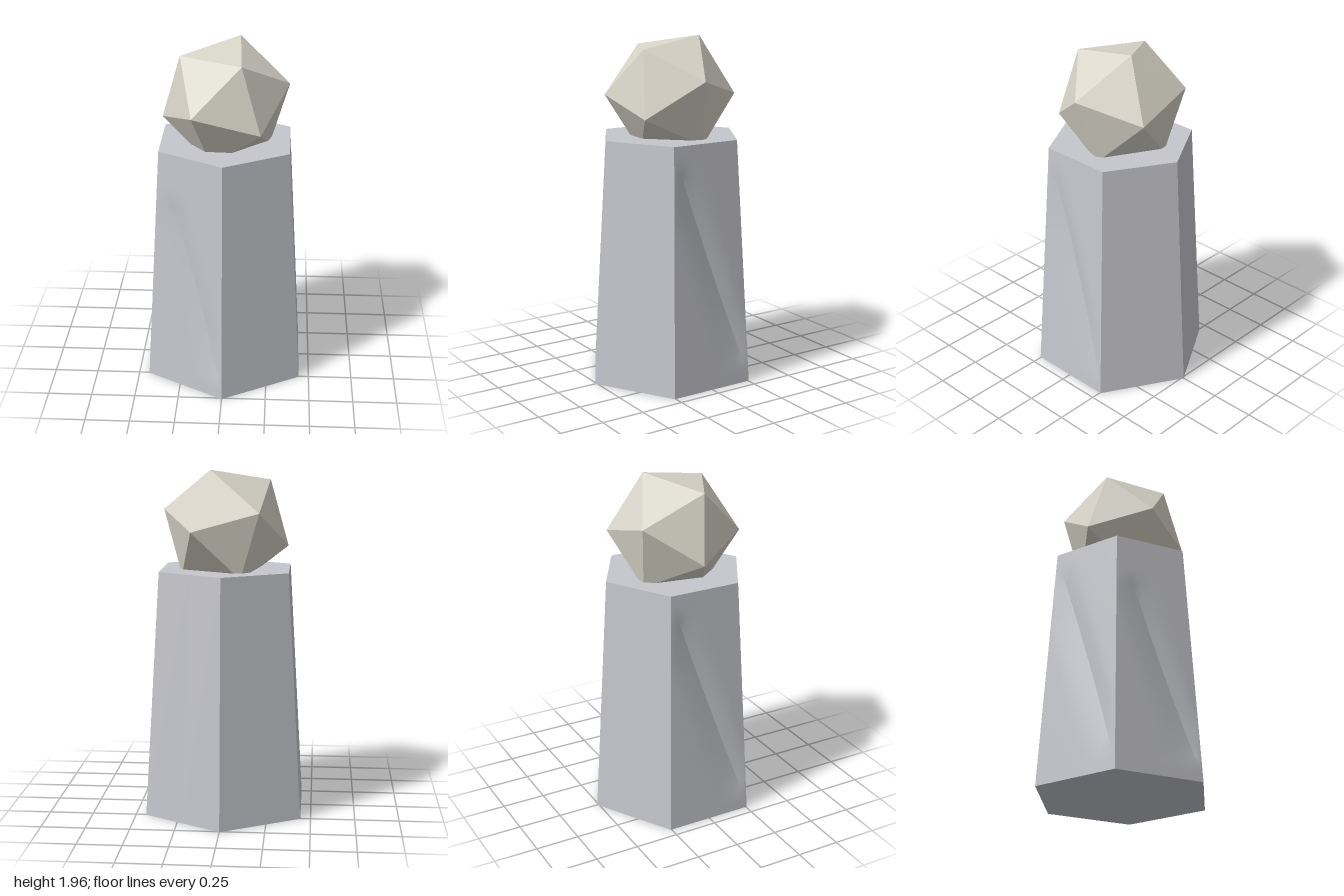
import * as THREE from 'three';
import { toCreasedNormals } from 'three/addons/utils/BufferGeometryUtils.js';

const HEIGHT = 1.4, R_BOTTOM = 0.51, R_TOP = 0.417;
const { lerp, clamp, degToRad } = THREE.MathUtils;

// One tapered side of the hexagonal pedestal, optionally cut by a shallow slanting V groove.
// groove: { top: [y, u], bottom: [y, u] }, u running left to right seen from outside.
function sidePanel(angle, groove) {
  const rows = groove ? 28 : 1, half = groove ? 8 : 1, cols = half * 2;
  const n = new THREE.Vector3(Math.sin(angle), 0, Math.cos(angle));
  const r = new THREE.Vector3(Math.cos(angle), 0, -Math.sin(angle));
  const positions = [], index = [];
  for (let j = 0; j <= rows; j++) {
    const y = HEIGHT * j / rows;
    const radius = lerp(R_BOTTOM, R_TOP, y / HEIGHT), w = radius / 2;
    let valley = 0, deep = 0;
    if (groove) {
      const [y1, u1] = groove.top, [y0, u0] = groove.bottom;
      const t = (y - y0) / (y1 - y0);
      valley = clamp(lerp(u0, u1, t), -0.9 * w, 0.9 * w);
      deep = 0.025 * Math.sqrt(Math.sin(Math.PI * clamp(t, 0, 1)));
    }
    for (let i = 0; i <= cols; i++) {
      // The middle column follows the bottom of the groove
      const u = i <= half ? lerp(-w, valley, i / half) : lerp(valley, w, (i - half) / half);
      const reach = u < valley ? Math.min(0.16, valley + w) : Math.min(0.1, w - valley);
      const cut = deep * Math.max(0, 1 - Math.abs(u - valley) / reach) ** 1.3;
      const p = n.clone().multiplyScalar(radius * Math.cos(Math.PI / 6) - cut).addScaledVector(r, u);
      positions.push(p.x, y, p.z);
      if (i < cols && j < rows) {
        const a = j * (cols + 1) + i, b = a + cols + 1;
        index.push(a, a + 1, b + 1, a, b + 1, b);
      }
    }
  }
  const geo = new THREE.BufferGeometry();
  geo.setAttribute('position', new THREE.Float32BufferAttribute(positions, 3));
  geo.setIndex(index);
  return toCreasedNormals(geo, 0.3);
}

export function createModel() {
  const model = new THREE.Group();
  const stone = new THREE.MeshStandardMaterial({ color: 0xc6c7cd });
  const gem = new THREE.MeshStandardMaterial({ color: 0xd8d4c8, flatShading: true });

  // Pedestal: six sides, three of them scored
  const pedestal = new THREE.Group();
  pedestal.name = 'pedestal';
  const long = { top: [1.27, -0.17], bottom: [0.13, 0.22] };
  const short = { top: [1.14, -0.12], bottom: [0.1, 0.23] };
  const grooves = { '-90': long, '-30': short, '90': long };
  for (let deg = -90; deg < 270; deg += 60) {
    const side = new THREE.Mesh(sidePanel(degToRad(deg), grooves[deg]), stone);
    side.name = grooves[deg] ? 'groovedSide' : 'plainSide';
    pedestal.add(side);
  }

  // Flat top and underside
  const addCap = (name, radius, y, turn) => {
    const cap = new THREE.Mesh(new THREE.CircleGeometry(radius, 6, Math.PI / 6).rotateX(turn), stone);
    cap.name = name;
    cap.position.y = y;
    pedestal.add(cap);
  };
  addCap('pedestalTop', R_TOP, HEIGHT, -Math.PI / 2);
  addCap('pedestalUnderside', R_BOTTOM, 0, Math.PI / 2);
  model.add(pedestal);

  // Faceted ball: icosahedron stood on a corner, sunk slightly into the pedestal
  const ballGeo = new THREE.IcosahedronGeometry(0.368, 0);
  const golden = (1 + Math.sqrt(5)) / 2;
  // Corner (0, golden, -1) is turned up to the pole, then a ring corner to +x
  ballGeo.rotateX(Math.atan(1 / golden));
  ballGeo.rotateY(Math.PI / 2);
  const pos = ballGeo.attributes.position;
  let ringAngle = 0;
  for (let i = 0; i < pos.count; i++) {
    const y = pos.getY(i);
    if (y > 0.1 && y < 0.2) ringAngle = Math.atan2(pos.getZ(i), pos.getX(i));
  }
  ballGeo.rotateY(ringAngle);
  const ball = new THREE.Mesh(ballGeo, gem);
  ball.name = 'facetedBall';
  ball.position.y = 2 - 0.368;
  model.add(ball);

  return model;
}
